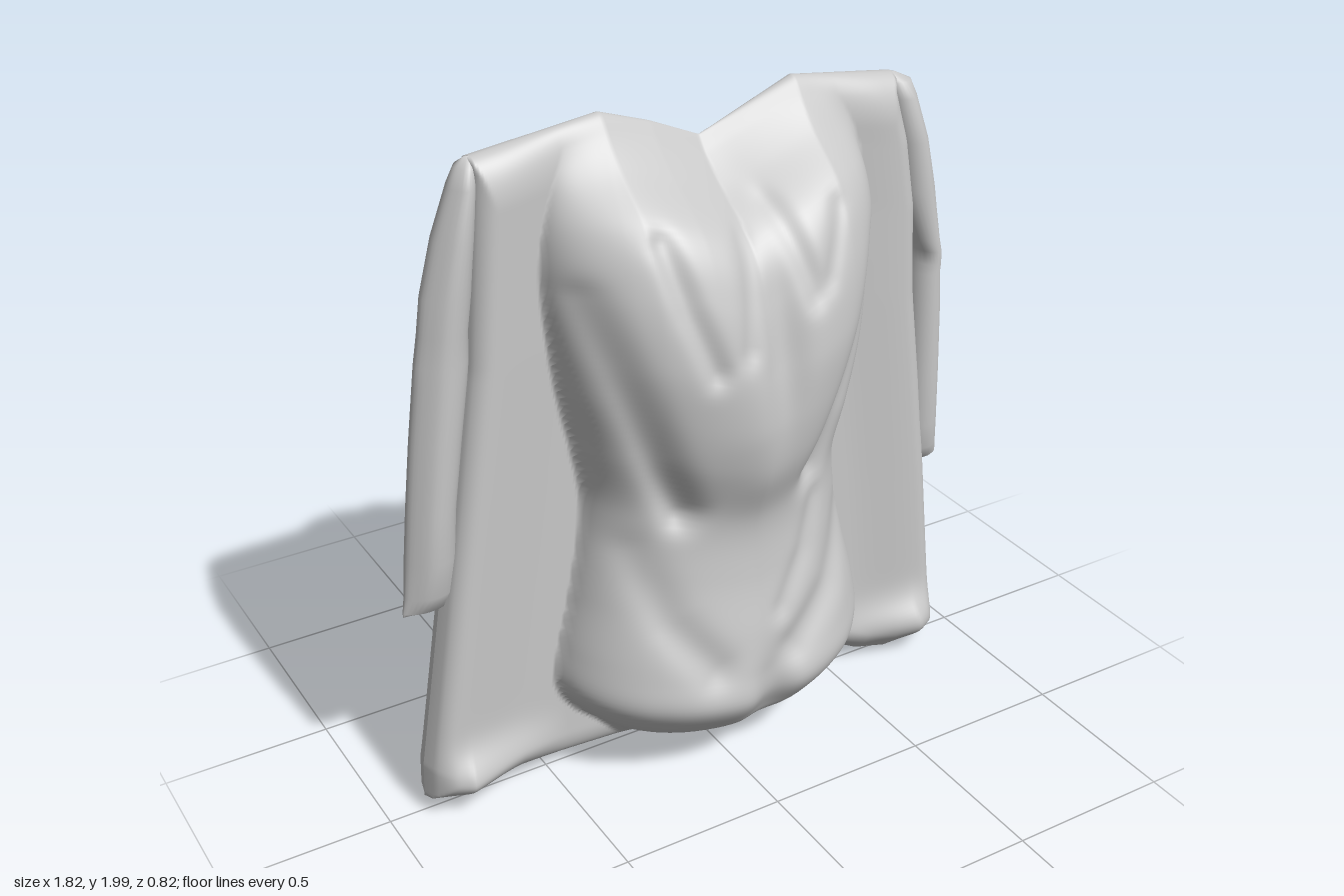
import * as THREE from 'three';

const { lerp, clamp, smoothstep } = THREE.MathUtils;
const gauss = (d, w) => Math.exp(-(d * d) / (w * w));

// Index of the span of [key, value] pairs holding t
function spanOf(pts, t) {
  const i = pts.findIndex(p => t <= p[0]);
  return i < 0 ? pts.length - 1 : Math.max(1, i);
}
// Straight-line lookup
function lookup(pts, t) {
  const i = spanOf(pts, t), [a, p] = pts[i - 1], [b, q] = pts[i];
  return lerp(p, q, clamp((t - a) / (b - a), 0, 1));
}
// Lookup along a smooth curve through the points
function curve(pts, t) {
  const i = spanOf(pts, t), [a, p] = pts[i - 1], [b, q] = pts[i];
  const slope = j => {
    const l = pts[Math.max(0, j - 1)], r = pts[Math.min(pts.length - 1, j + 1)];
    return (r[1] - l[1]) / (r[0] - l[0]);
  };
  const h = b - a, s = clamp((t - a) / h, 0, 1), s2 = s * s, s3 = s2 * s;
  return (2 * s3 - 3 * s2 + 1) * p + (s3 - 2 * s2 + s) * h * slope(i - 1) + (3 * s2 - 2 * s3) * q + (s3 - s2) * h * slope(i);
}

// Outline of the garment body
const leftEdge = [[0, -0.89], [0.12, -0.885], [0.68, -0.8], [1, -0.75], [1.4, -0.69], [1.95, -0.645]];
const rightEdge = [[0, 0.91], [0.12, 0.895], [0.68, 0.835], [1, 0.795], [1.3, 0.755], [1.44, 0.745], [1.6, 0.735], [1.8, 0.7], [1.95, 0.655]];
const topEdge = [[-0.65, 1.95], [-0.27, 2], [-0.12, 1.95], [0.03, 1.885], [0.18, 1.945], [0.32, 2], [0.66, 1.955]];
const hemEdge = [[-0.89, 0.055], [-0.78, 0.04], [-0.6, 0.055], [0, 0.02], [0.4, 0.04], [0.53, 0.08], [0.62, 0.03], [0.72, 0.005], [0.82, 0.02], [0.9, 0.055]];

// Depth and half width of the padded torso by height
const torsoDepth = [[0, 0], [0.03, 0.06], [0.13, 0.27], [0.2, 0.34], [0.28, 0.385], [0.38, 0.375], [0.5, 0.355], [0.7, 0.32],
  [0.9, 0.315], [1.1, 0.375], [1.25, 0.4], [1.4, 0.405], [1.6, 0.365], [1.76, 0.285], [1.88, 0.12], [1.95, 0.04], [2, 0]];
const torsoWidth = [[0.03, 0.3], [0.12, 0.37], [0.2, 0.45], [0.3, 0.5], [0.42, 0.49], [0.6, 0.45], [0.9, 0.405], [1.1, 0.43], [1.3, 0.47], [1.58, 0.505], [1.72, 0.5], [1.84, 0.47], [1.95, 0.42]];

// Draped folds: width, depth (negative is a ridge), then points
const folds = [
  [0.05, 0.05, [-0.44, 1.58], [-0.36, 1.35], [-0.27, 1.1], [-0.19, 0.92]],
  [0.05, 0.05, [0.49, 1.56], [0.4, 1.35], [0.3, 1.12], [0.23, 0.95]],
  [0.06, 0.025, [-0.32, 0.8], [-0.24, 0.58], [-0.12, 0.42]],
  [0.06, 0.03, [0.4, 0.72], [0.3, 0.55], [0.15, 0.42]],
  [0.035, 0.015, [0.25, 0.85], [0.2, 0.7], [0.11, 0.55]],
  [0.035, 0.022, [-0.24, 1.72], [-0.2, 1.55], [-0.14, 1.38]],
  [0.035, 0.018, [0.0, 1.68], [-0.04, 1.42]],
  [0.035, 0.018, [0.12, 1.74], [0.18, 1.52]],
  [0.03, 0.015, [0.3, 1.72], [0.23, 1.55]],
  [0.14, -0.015, [0.02, 1.15], [0.04, 1.02]],
];
function foldDepth(x, y) {
  let sum = 0;
  for (const [w, d, ...path] of folds) {
    let near = 9;
    for (let i = 1; i < path.length; i++) {
      const [x1, y1] = path[i - 1], dx = path[i][0] - x1, dy = path[i][1] - y1;
      const t = clamp(((x - x1) * dx + (y - y1) * dy) / (dx * dx + dy * dy), 0, 1);
      near = Math.min(near, Math.hypot(x - x1 - dx * t, y - y1 - dy * t));
    }
    sum += d * gauss(near, w);
  }
  return sum;
}

// Height of the cloth above the seam plane
function clothDepth(x, y, level, left, right, top, hem, side) {
  const edge = Math.min(x - left, right - x);
  const gap = clamp(Math.min(edge / 0.06, (top - y) / 0.14, (y - hem) / 0.09), 0, 1);
  const rim = Math.sqrt(1 - (1 - gap) ** 2);
  // Side flaps swell toward the seams, with puffed hem corners
  const corner = clamp((Math.abs(x) - 0.45) / 0.33, 0, 1) * clamp(edge / 0.1, 0, 1);
  const swell = smoothstep(0.3 - edge, 0, 0.24);
  const flat = rim * (0.05 + 0.025 * swell + 0.06 * corner * gauss(y - 0.13, 0.075));
  const s = Math.abs((x - 0.025) / curve(torsoWidth, level));
  if (s >= 1) return flat;
  const round = Math.sqrt(1 - Math.pow(s, 2.4));
  const dip = 0.04 * gauss(x - 0.07, 0.065) * (gauss(y - 1.4, 0.3) + gauss(y - 0.28, 0.12));
  const torso = (curve(torsoDepth, level) - (foldDepth(x * side, y) + dip) * rim) * round;
  return Math.hypot(flat * Math.min(1, s + 0.3), Math.max(0, torso));
}

// One body panel; side is 1 for the front and -1 for the back
function bodyPanel(side) {
  const geo = new THREE.PlaneGeometry(1, 1, 190, 140);
  const pos = geo.attributes.position;
  for (let i = 0; i < pos.count; i++) {
    const u = 0.5 + side * pos.getX(i);
    const v = 0.5 - 0.5 * Math.cos(Math.PI * (pos.getY(i) + 0.5));
    const level = v * 2;
    const left = lookup(leftEdge, level), right = lookup(rightEdge, level);
    const x = lerp(left, right, u);
    const hem = lookup(hemEdge, x), top = lookup(topEdge, x);
    const y = lerp(hem, top, v);
    pos.setXYZ(i, x, y, side * clothDepth(x, y, level, left, right, top, hem, side));
  }
  geo.computeVertexNormals();
  return geo;
}

// Sleeve lofted from flattened rings: y, inner x, outer x, half depth
const leftSleeve = [
  [0.672, 0.82, 0.9, 0.004], [0.685, 0.785, 0.902, 0.03], [0.73, 0.765, 0.897, 0.05], [0.82, 0.76, 0.89, 0.066],
  [1.0, 0.755, 0.882, 0.07], [1.2, 0.752, 0.872, 0.07], [1.33, 0.755, 0.858, 0.07], [1.36, 0.768, 0.856, 0.07], [1.4, 0.77, 0.852, 0.07], [1.44, 0.745, 0.848, 0.07],
  [1.6, 0.69, 0.822, 0.072], [1.75, 0.67, 0.785, 0.072], [1.88, 0.645, 0.74, 0.055], [1.925, 0.64, 0.72, 0.035], [1.952, 0.635, 0.665, 0.004],
];
const rightSleeve = [
  [0.678, 0.8, 0.908, 0.004], [0.69, 0.775, 0.908, 0.03], [0.74, 0.755, 0.9, 0.05], [0.85, 0.745, 0.89, 0.066],
  [1.0, 0.735, 0.874, 0.07], [1.2, 0.705, 0.85, 0.07], [1.36, 0.68, 0.828, 0.07], [1.42, 0.672, 0.82, 0.068], [1.5, 0.67, 0.805, 0.07],
  [1.6, 0.655, 0.79, 0.072], [1.75, 0.64, 0.748, 0.072], [1.88, 0.625, 0.698, 0.055], [1.93, 0.62, 0.676, 0.035], [1.952, 0.62, 0.65, 0.004],
];
function sleeve(rings, mirror) {
  const n = 28, pos = [], idx = [];
  rings.forEach(([y, xin, xout, d], r) => {
    for (let k = 0; k < n; k++) {
      const a = -mirror * k / n * Math.PI * 2, c = Math.cos(a);
      // Narrower toward the outer seam
      const taper = 1 - 0.3 * smoothstep(c, 0.2, 1);
      pos.push(mirror * ((xin + xout) / 2 + c * (xout - xin) / 2), y, Math.sin(a) * d * taper * mirror);
      if (r) {
        const p = (r - 1) * n, q = r * n, k2 = (k + 1) % n;
        idx.push(p + k, p + k2, q + k, p + k2, q + k2, q + k);
      }
    }
  });
  // Close both ends
  const last = (rings.length - 1) * n;
  for (let k = 1; k < n - 1; k++) idx.push(0, k + 1, k, last, last + k, last + k + 1);
  const geo = new THREE.BufferGeometry();
  geo.setAttribute('position', new THREE.Float32BufferAttribute(pos, 3));
  geo.setIndex(idx);
  geo.computeVertexNormals();
  return geo;
}

export function createModel() {
  const group = new THREE.Group();
  group.name = 'garment';
  const cloth = new THREE.MeshStandardMaterial({ color: 0xc8c8c8, side: THREE.DoubleSide });
  cloth.name = 'grey cloth';
  const add = (name, geo) => {
    const mesh = new THREE.Mesh(geo, cloth);
    mesh.name = name;
    group.add(mesh);
  };
  add('frontPanel', bodyPanel(1));
  add('backPanel', bodyPanel(-1));
  add('leftSleeve', sleeve(leftSleeve, 1));
  add('rightSleeve', sleeve(rightSleeve, -1));
  return group;
}
